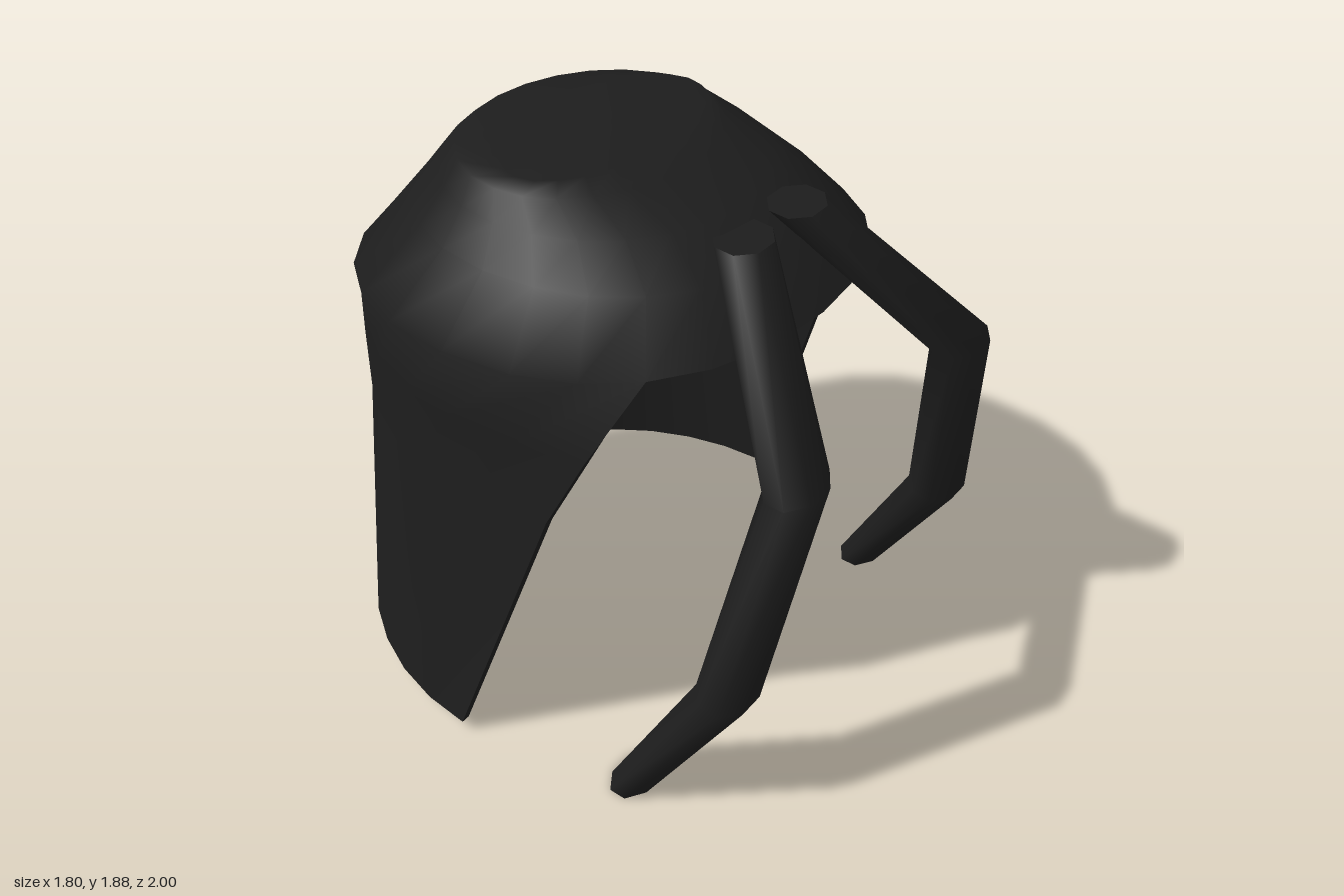
import * as THREE from 'three';

const black = new THREE.MeshStandardMaterial({ color: 0x1d1d1d, side: THREE.DoubleSide });
black.name = 'soft black';

const COLS = 24;   // columns round the crown
const HALF = 9;    // columns each side of the back that continue down as the skirt
const THICK = 0.03;

// Rings from hem to crown: height, centre z, radius x, depth to back and front, squareness,
// and for the skirt the angle from the back at which its front edge lies
const RINGS = [
  { y: 0.05, z: -0.05, rx: 0.9, back: 0.95, front: 0.95, n: 2, edge: 90 },
  { y: 1.0, z: -0.1, rx: 0.795, back: 0.79, front: 1.23, n: 2.15, edge: 105 },
  { y: 1.25, z: -0.1, rx: 0.795, back: 0.79, front: 1.035, n: 2.15, edge: 115 },
  { y: 1.485, z: -0.1, rx: 0.795, back: 0.79, front: 0.785, n: 2.25, tilt: 0.035 },
  { y: 1.68, z: -0.08, rx: 0.625, back: 0.63, front: 0.63, n: 2.1 },
  { y: 1.78, z: -0.12, rx: 0.53, back: 0.52, front: 0.515, n: 2 },
  { y: 1.845, z: -0.17, rx: 0.465, back: 0.4, front: 0.37, n: 2 },
  { y: 1.88, z: -0.12, rx: 0.42, back: 0.23, front: 0.22, n: 2 },
  { y: 1.88, z: -0.12, rx: 0, back: 0, front: 0, n: 2 },
];
const CAP_ROW = 3; // first ring that runs all the way round

function ringPoint(row, k, inset) {
  const ring = RINGS[row];
  const a = ring.edge
    ? THREE.MathUtils.degToRad(ring.edge) * k / HALF
    : 2 * Math.PI * k / COLS;
  const bend = v => Math.sign(v) * Math.pow(Math.abs(v), 2 / ring.n);
  const c = Math.cos(a);
  const rx = Math.max(0, ring.rx - inset);
  // Skirt fronts run nearly straight, so only their width is inset
  const depth = c > 0 ? ring.back - inset : ring.front - (ring.edge ? 0 : inset);
  const drop = row > CAP_ROW ? inset : 0;
  return [
    rx * bend(Math.sin(a)),
    ring.y - drop - (ring.tilt || 0) * c,
    ring.z - Math.max(0, depth) * bend(c),
  ];
}

function makeGeometry(points, index) {
  const g = new THREE.BufferGeometry();
  g.setAttribute('position', new THREE.Float32BufferAttribute(points.flat(), 3));
  g.setIndex(index);
  g.computeVertexNormals();
  return g;
}

// Crown and skirt as one smooth skin; the lining is the same skin inset and reversed
function skin(inset, inward) {
  const points = [], index = [];
  const id = (r, k) => r * COLS + (k + COLS) % COLS;
  for (let r = 0; r < RINGS.length; r++) {
    for (let c = 0; c < COLS; c++) {
      points.push(ringPoint(r, c < COLS / 2 ? c : c - COLS, inset));
    }
  }
  for (let r = 0; r < RINGS.length - 1; r++) {
    const reach = r < CAP_ROW ? HALF : COLS / 2;
    for (let k = -reach; k < reach; k++) {
      const a = id(r, k), b = id(r + 1, k), d = id(r, k + 1), e = id(r + 1, k + 1);
      if (inward) index.push(a, d, b, d, e, b);
      else index.push(a, b, d, d, b, e);
    }
  }
  return makeGeometry(points, index);
}

// Narrow band closing the gap between skin and lining along the open edge
function rimGeometry() {
  const path = [];
  for (let k = -HALF; k <= HALF; k++) path.push([0, k]);
  for (let r = 1; r <= CAP_ROW; r++) path.push([r, HALF]);
  for (let k = HALF + 1; k <= COLS - HALF; k++) path.push([CAP_ROW, k]);
  for (let r = CAP_ROW - 1; r >= 0; r--) path.push([r, -HALF]);
  const points = [], index = [];
  for (let i = 0; i < path.length - 1; i++) {
    const n = points.length;
    for (const [r, k] of [path[i], path[i + 1]]) {
      points.push(ringPoint(r, k, 0), ringPoint(r, k, THICK));
    }
    index.push(n, n + 2, n + 1, n + 1, n + 2, n + 3);
  }
  return makeGeometry(points, index);
}

// Hanging lock: eight-sided sections along a bent path, closed at both ends
function lockGeometry(side) {
  const SIDES = 8;
  const path = [ // x, y, z, radius x, radius z, backward tilt
    [0.115, 1.75, 0.49, 0.1, 0.08, 0.005],
    [0.445, 1.26, 0.92, 0.118, 0.078, 0],
    [0.615, 0.53, 0.835, 0.11, 0.085, 0.01],
    [0.685, 0.005, 0.545, 0.107, 0.07, 0],
  ];
  const points = [], index = [];
  const section = ([x, y, z, rx, rz, tilt]) => {
    for (let i = 0; i < SIDES; i++) {
      const a = 2 * Math.PI * (i + 0.5) / SIDES;
      const s = Math.sin(a) / Math.cos(Math.PI / SIDES);
      const c = Math.cos(a) / Math.cos(Math.PI / SIDES);
      points.push([side * x + rx * s, y - tilt * c, z + rz * c]);
    }
  };
  path.forEach(section);
  for (let r = 0; r < path.length - 1; r++) {
    for (let i = 0; i < SIDES; i++) {
      const j = (i + 1) % SIDES;
      const a = r * SIDES + i, b = r * SIDES + j;
      index.push(a, a + SIDES, b, b, a + SIDES, b + SIDES);
    }
  }
  // The path runs downward, so reverse the walls to face outward
  index.reverse();
  const top = points.length;
  section(path[0]);
  const bottom = points.length;
  section(path[path.length - 1]);
  for (let i = 1; i < SIDES - 1; i++) {
    index.push(top, top + i, top + i + 1, bottom, bottom + i + 1, bottom + i);
  }
  return makeGeometry(points, index);
}

export function createModel() {
  const model = new THREE.Group();
  model.name = 'hairpiece';
  const add = (name, geometry) => {
    const mesh = new THREE.Mesh(geometry, black);
    mesh.name = name;
    model.add(mesh);
    return mesh;
  };
  add('hairShell', skin(0, false));
  add('hairLining', skin(THICK, true));
  add('hairRim', rimGeometry());
  add('leftLock', lockGeometry(1)).position.set(0.015, 0.015, 0.002);
  add('rightLock', lockGeometry(-1)).position.set(0, 0, -0.02);
  return model;
}
